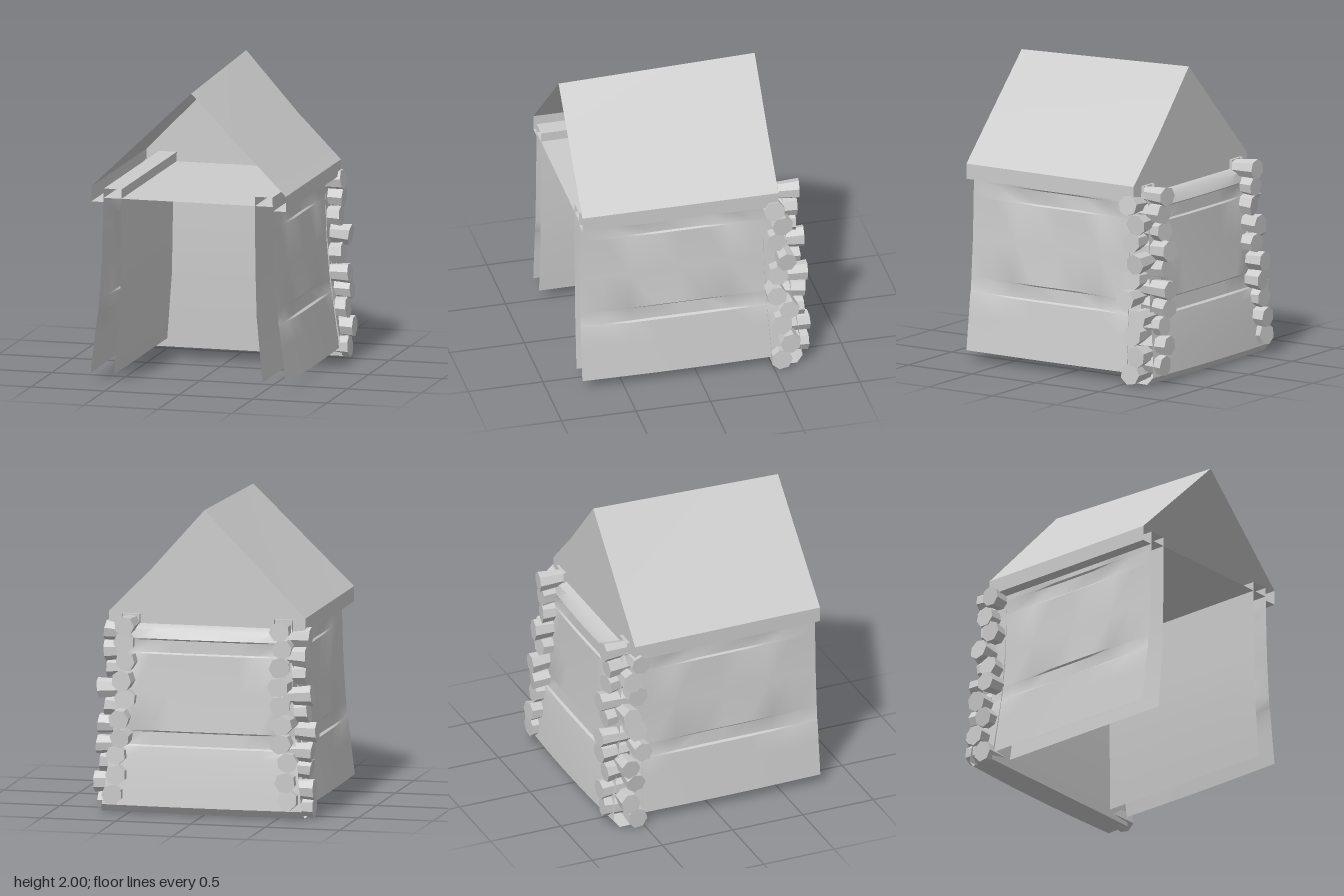
import * as THREE from 'three';
import { toCreasedNormals } from 'three/addons/utils/BufferGeometryUtils.js';

const FRONT = 0.775, BACK = -0.54;

// Surface through rows of points; every row has the same number of points
function loft(rows, crease) {
  const n = rows[0].length, index = [];
  for (let i = 0; i < rows.length - 1; i++) {
    for (let j = 0; j < n - 1; j++) {
      const a = i * n + j, b = a + n;
      index.push(a, b, a + 1, b, b + 1, a + 1);
    }
  }
  const geo = new THREE.BufferGeometry();
  geo.setAttribute('position', new THREE.Float32BufferAttribute(rows.flat(2), 3));
  geo.setIndex(index);
  return toCreasedNormals(geo, crease);
}

// Small repeatable number source for uneven logs
function seeded(seed) {
  return () => {
    seed = (seed * 16807) % 2147483647;
    return seed / 2147483647 - 0.5;
  };
}

export function createModel() {
  const model = new THREE.Group();
  const grey = new THREE.MeshStandardMaterial({ color: 0xcccccc });
  grey.name = 'plainGrey';
  grey.side = THREE.DoubleSide;
  const add = (name, geo, parent = model) => {
    const mesh = new THREE.Mesh(geo, grey);
    mesh.name = name;
    parent.add(mesh);
    return mesh;
  };

  // Roof slopes with eave boards, open at the front
  const section = [
    [-0.575, 1.21], [-0.655, 1.21], [-0.655, 1.31], [0.02, 1.96],
    [0.37, 1.605], [0.66, 1.31], [0.66, 1.21], [0.575, 1.21],
  ];
  const backSection = section.map(([x, y], i) => [x, i === 3 ? 2 : y]);
  add('roof', loft([
    section.map(([x, y]) => [x, y, FRONT]),
    backSection.map(([x, y]) => [x, y, BACK]),
  ], 0.1));

  // Rear gable
  const gable = new THREE.ShapeGeometry(
    new THREE.Shape(backSection.map(([x, y]) => new THREE.Vector2(x, y))));
  gable.translate(0, 0, BACK);
  add('rearGable', gable);

  // Flat ceiling between the walls
  add('ceiling', loft([
    [[-0.57, 1.238, FRONT], [0.57, 1.238, FRONT]],
    [[-0.57, 1.238, BACK], [0.57, 1.238, BACK]],
  ], 0.1));

  // Hollow side walls, flared and open at the bottom: [x, y, dent]
  const sideProfile = [
    [0.66, 0.07, 0], [0.632, 0.3, 0], [0.615, 0.445, 0], [0.61, 0.455, 1],
    [0.603, 0.54, 1], [0.602, 0.55, 0], [0.585, 0.8, 0], [0.576, 1.07, 0],
    [0.576, 1.08, 1], [0.574, 1.17, 1], [0.574, 1.18, 0], [0.57, 1.3, 0],
    [0.45, 1.3, 0], [0.452, 1.1, 0], [0.455, 0.8, 0], [0.463, 0.5, 0], [0.502, 0.07, 0],
  ];
  for (const s of [1, -1]) {
    const rows = [];
    for (let i = 0; i <= 8; i++) {
      const t = i / 8, z = THREE.MathUtils.lerp(FRONT, -0.56, t);
      const dent = 0.012 * Math.max(0, Math.sin(Math.PI * (t * 1.4 - 0.2)));
      const bow = 0.01 * Math.sin(Math.PI * t);
      rows.push(sideProfile.map(([x, y, d]) =>
        [s * (x - d * dent + (x > 0.59 ? bow : 0)), y, z]));
    }
    add(s > 0 ? 'leftWall' : 'rightWall', loft(rows, 0.6));
  }

  // Hollow rear wall with a bowed, closed bottom: [z, y, dent, half width]
  const rearProfile = [
    [-0.5, 0.015, 0, 0.68], [-0.66, 0.012, 0, 0.68], [-0.7, 0.06, 0, 0.67],
    [-0.685, 0.2, 0, 0.65], [-0.66, 0.38, 0, 0.63], [-0.648, 0.445, 0, 0.62],
    [-0.643, 0.455, 1, 0.62], [-0.635, 0.54, 1, 0.61], [-0.635, 0.55, 0, 0.61],
    [-0.615, 0.8, 0, 0.59], [-0.603, 1.05, 0, 0.58], [-0.602, 1.06, 1, 0.58],
    [-0.6, 1.14, 1, 0.57], [-0.6, 1.15, 0, 0.57], [-0.585, 1.21, 0, 0.57],
    [-0.545, 1.237, 0, 0.57], [-0.46, 1.237, 0, 0.57], [-0.46, 0.8, 0, 0.59],
    [-0.47, 0.45, 0, 0.62], [-0.5, 0.015, 0, 0.68],
  ];
  const rearRows = [];
  for (let i = 0; i <= 10; i++) {
    const u = i / 5 - 1, c = 1 - u * u;
    rearRows.push(rearProfile.map(([z, y, d, w]) =>
      [u * w, y, z + d * 0.014 * c - (z < -0.59 ? 0.018 * c : 0)]));
  }
  add('rearWall', loft(rearRows, 0.6));

  // Uneven log end, widening to its cut face, along x or z
  const rand = seeded(41);
  function logEnd(name, parent, axis, center, from, to) {
    const length = Math.abs(to - from);
    const geo = new THREE.CylinderGeometry(0.069, 0.054, length, 7, 1);
    geo.rotateY(rand() * 6);
    geo.scale(1 + rand() * 0.12, 1, 1 + rand() * 0.12);
    const p = geo.attributes.position;
    const tilt = rand() * 0.25;
    for (let i = 0; i < p.count; i++) {
      if (p.getY(i) > 0) p.setY(i, p.getY(i) + p.getX(i) * tilt);
    }
    const mesh = add(name, toCreasedNormals(geo, 0.3), parent);
    const mid = (from + to) / 2;
    if (axis === 'x') {
      mesh.rotation.set(rand() * 0.3, 0, -Math.sign(to) * Math.PI / 2 + rand() * 0.14);
      mesh.position.set(mid, center[1], center[0]);
    } else {
      mesh.rotation.set(-Math.PI / 2 + rand() * 0.14, 0, rand() * 0.2);
      mesh.position.set(center[0], center[1], mid);
    }
  }

  // Crossed logs at both rear corners: [y, z, outer x]
  const sideLogs = [
    [1.18, -0.51, 0.685], [1.06, -0.565, 0.675], [0.94, -0.525, 0.668],
    [0.81, -0.585, 0.715], [0.69, -0.535, 0.68], [0.565, -0.515, 0.73],
    [0.445, -0.6, 0.72], [0.33, -0.555, 0.705], [0.2, -0.605, 0.735], [0.075, -0.55, 0.72],
  ];
  // Rear facing ends: [y, x, outer z]
  const rearLogs = [
    [1.24, 0.515, -0.71], [1.125, 0.53, -0.69], [1.005, 0.51, -0.69],
    [0.88, 0.525, -0.74], [0.755, 0.515, -0.705], [0.63, 0.55, -0.755],
    [0.51, 0.535, -0.745], [0.385, 0.57, -0.725], [0.26, 0.565, -0.76], [0.135, 0.59, -0.745],
  ];
  for (const s of [1, -1]) {
    const corner = new THREE.Group();
    corner.name = s > 0 ? 'leftCornerLogs' : 'rightCornerLogs';
    model.add(corner);
    for (const [y, z, x] of sideLogs) logEnd('sideLogEnd', corner, 'x', [z, y], s * 0.53, s * x);
    for (const [y, x, z] of rearLogs) logEnd('rearLogEnd', corner, 'z', [s * x, y], -0.53, z);
  }
  return model;
}
